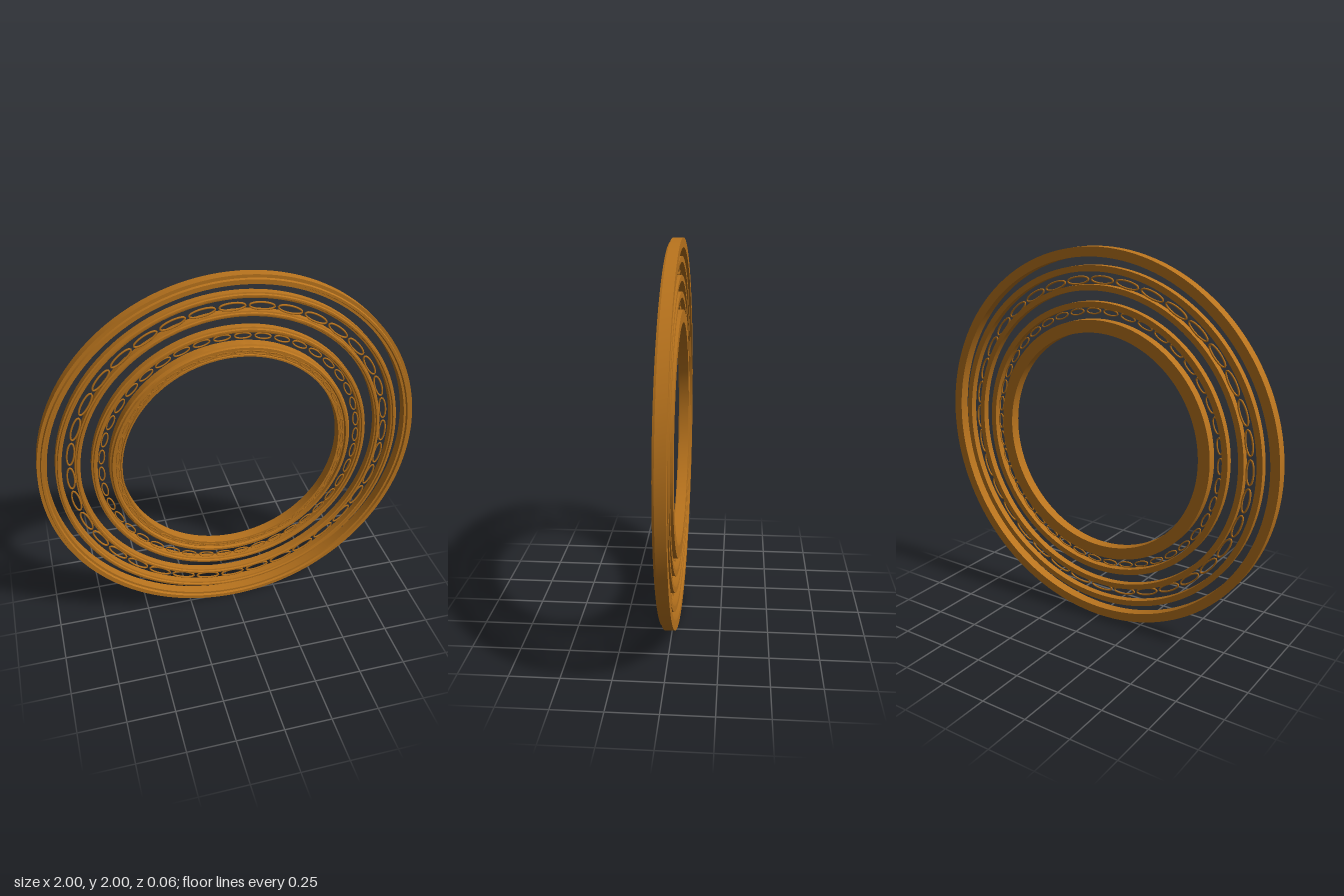
import * as THREE from 'three';
import { toCreasedNormals } from 'three/addons/utils/BufferGeometryUtils.js';

const material = new THREE.MeshStandardMaterial({ color: 0xb8731d });

// Ring turned around z from a closed profile of [radius, z] points, counter-clockwise
function turnedRing(name, profile) {
  const points = [...profile, profile[0]].map(([r, z]) => new THREE.Vector2(r, z));
  const geometry = new THREE.LatheGeometry(points, 128).rotateX(Math.PI / 2);
  const mesh = new THREE.Mesh(toCreasedNormals(geometry, 0.5), material);
  mesh.name = name;
  return mesh;
}

// Narrow band with a raised bead on its front
function bandProfile(inner, outer) {
  const w = outer - inner;
  return [
    [inner, -0.025], [outer, -0.025], [outer, 0.01], [outer - w * 0.25, 0.012],
    [outer - w * 0.35, 0.02], [inner + w * 0.35, 0.02], [inner + w * 0.25, 0.012], [inner, 0.01],
  ];
}

// Circle of oval wire links, long side along the circle
function linkCircle(name, count, radius, halfLength, halfWidth, wire, z, offset = 0) {
  const points = [];
  for (let i = 0; i < 24; i++) {
    const a = (i / 24) * Math.PI * 2;
    points.push(new THREE.Vector3(Math.cos(a) * halfLength, Math.sin(a) * halfWidth, 0));
  }
  const curve = new THREE.CatmullRomCurve3(points, true);
  const geometry = new THREE.TubeGeometry(curve, 32, wire, 6, true);
  const group = new THREE.Group();
  group.name = name;
  for (let i = 0; i < count; i++) {
    const a = ((i + offset) / count) * Math.PI * 2;
    const link = new THREE.Mesh(geometry, material);
    link.name = 'ovalLink';
    link.position.set(Math.sin(a) * radius, Math.cos(a) * radius, z);
    link.rotation.z = -a;
    group.add(link);
  }
  return group;
}

export function createModel() {
  const model = new THREE.Group();
  model.name = 'ornamentalRing';
  const rings = new THREE.Group();
  rings.name = 'concentricRings';
  rings.position.y = 1;
  model.add(rings);

  // Outer rim with a stepped front
  rings.add(turnedRing('outerRim', [
    [0.952, -0.033], [1, -0.033], [1, 0.018], [0.984, 0.018],
    [0.98, 0.03], [0.968, 0.03], [0.964, 0.018], [0.952, 0.018],
  ]));

  // Three narrow bands
  rings.add(turnedRing('outerBand', bandProfile(0.88, 0.91)));
  rings.add(turnedRing('middleBand', bandProfile(0.787, 0.815)));
  rings.add(turnedRing('innerBand', bandProfile(0.702, 0.732)));

  // Inner rim with a recess on its front
  rings.add(turnedRing('innerRim', [
    [0.578, -0.033], [0.642, -0.033], [0.642, 0.014], [0.634, 0.018],
    [0.63, 0.028], [0.618, 0.028], [0.614, 0.014], [0.588, 0.014],
    [0.586, 0.02], [0.578, 0.02],
  ]));

  // Oval links between the bands and in the recess
  rings.add(linkCircle('outerLinks', 36, 0.837, 0.064, 0.018, 0.005, 0));
  rings.add(linkCircle('innerLinks', 42, 0.682, 0.041, 0.014, 0.004, 0, 0.5));
  rings.add(linkCircle('recessLinks', 42, 0.601, 0.038, 0.008, 0.003, 0.015, 0.5));
  return model;
}
